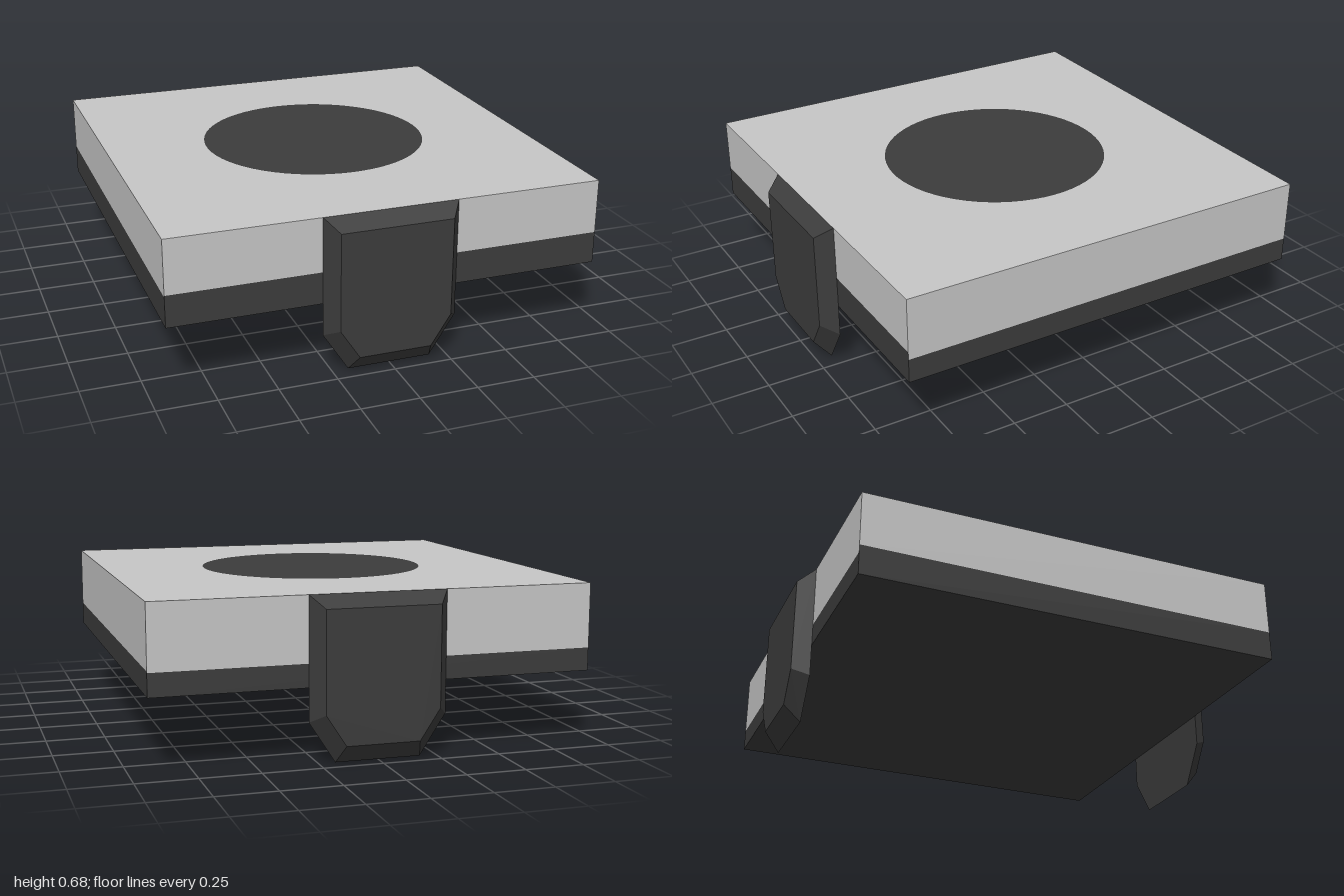
import * as THREE from 'three';
import { ConvexGeometry } from 'three/addons/geometries/ConvexGeometry.js';

const HALF = 0.93, BOTTOM = 0.31, TOP = 0.68, DISC = 0.495;

export function createModel() {
  const model = new THREE.Group();
  model.name = 'squareTileWithClips';
  const light = new THREE.MeshStandardMaterial({ color: 0xc6c6c6 });
  light.name = 'light grey';
  const dark = new THREE.MeshStandardMaterial({ color: 0x3c3c3c });
  dark.name = 'charcoal';

  const add = (name, geometry, material, parent = model) => {
    const mesh = new THREE.Mesh(geometry, material);
    mesh.name = name;
    parent.add(mesh);
    return mesh;
  };

  // Slab sides: a light band over a dark band, whose height varies by side
  const sides = [['front', 0.447], ['left', 0.413], ['back', 0.407], ['right', 0.44]];
  sides.forEach(([name, split], i) => {
    const side = new THREE.Group();
    side.name = name + 'Side';
    side.rotation.y = i * Math.PI / 2;
    const band = (label, y0, y1, material) => {
      const mesh = add(name + label, new THREE.PlaneGeometry(2 * HALF, y1 - y0), material, side);
      mesh.position.set(0, (y0 + y1) / 2, HALF);
    };
    band('UpperBand', split, TOP, light);
    band('LowerBand', BOTTOM, split, dark);
    model.add(side);
  });

  // Top face with a flush round inlay
  const square = new THREE.Shape([[-1, -1], [1, -1], [1, 1], [-1, 1]]
    .map(([x, y]) => new THREE.Vector2(x * HALF, y * HALF)));
  square.holes.push(new THREE.Path().absarc(0, 0, DISC, 0, Math.PI * 2, true));
  const flat = (geometry, y, turn) => geometry.rotateX(turn).translate(0, y, 0);
  add('topFace', flat(new THREE.ShapeGeometry(square, 32), TOP, -Math.PI / 2), light);
  add('roundInlay', flat(new THREE.CircleGeometry(DISC, 64), TOP, -Math.PI / 2), dark);
  add('underside', flat(new THREE.PlaneGeometry(2 * HALF, 2 * HALF), BOTTOM, Math.PI / 2), dark);

  // Bevelled clips hanging from the front and back edges
  const inner = [[0.29, 0.68], [0.29, 0.17], [0.18, 0]];
  const outer = [[0.24, 0.63], [0.24, 0.21], [0.155, 0.08]];
  const ring = (points, z) => points.flatMap(([x, y]) =>
    [-x, x].map((px) => new THREE.Vector3(px, y, z)));
  const clip = new ConvexGeometry([...ring(inner, HALF), ...ring(outer, 1)]);
  add('frontClip', clip, dark);
  add('backClip', clip, dark).rotation.y = Math.PI;

  return model;
}
